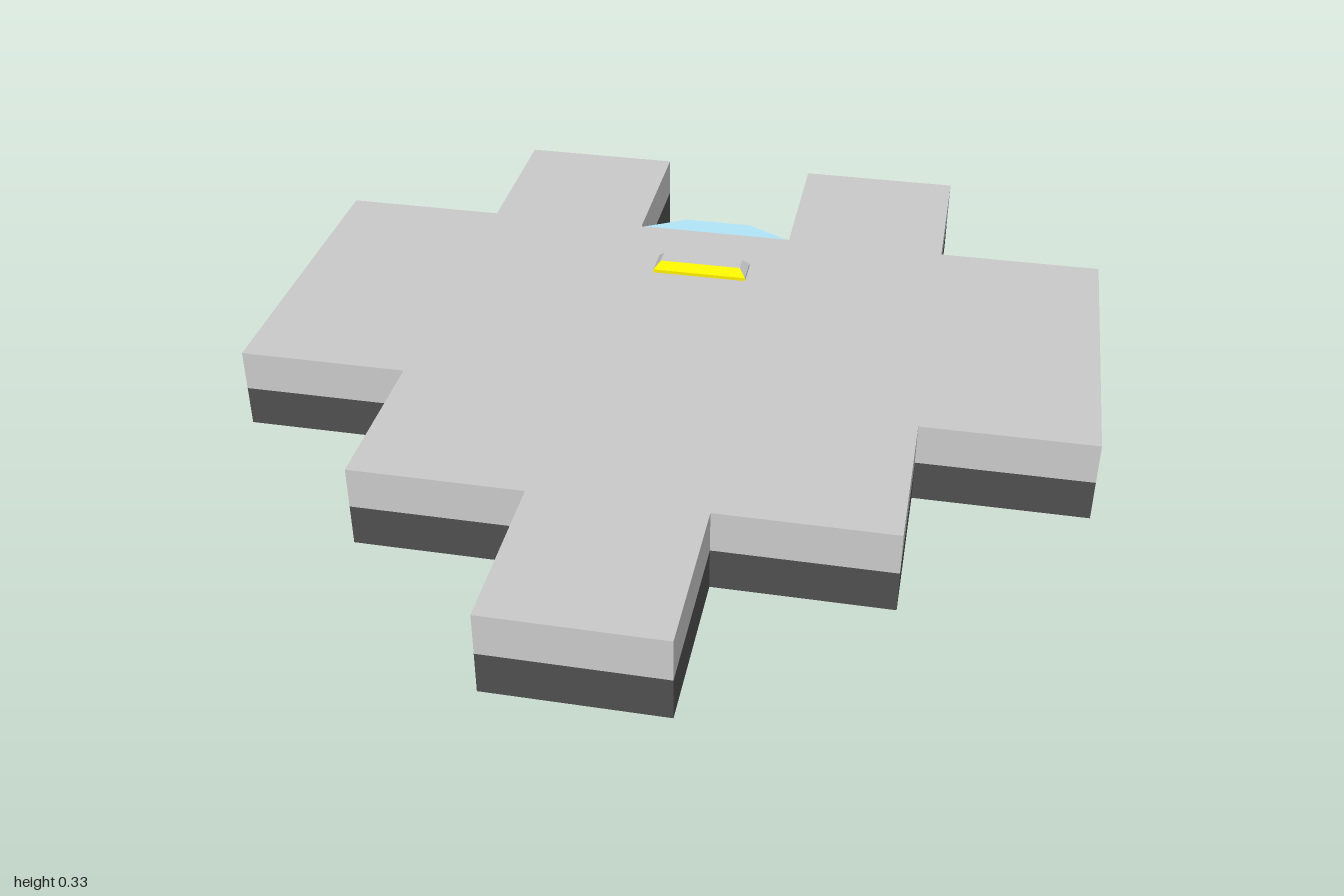
import * as THREE from 'three';

const mat = (color) => new THREE.MeshStandardMaterial({ color, flatShading: true });
const grey = mat(0xcccccc), dark = mat(0x505050), gunmetal = mat(0x3a3a3a);
const glass = mat(0xafe4f7), yellow = mat(0xffee00);

function part(name, geometry, material) {
  const mesh = new THREE.Mesh(geometry, material);
  mesh.name = name;
  return mesh;
}

// Four-cornered ring: front edge (half width, z, y), then back edge
const ring = (fw, fz, fy, bw, bz, by) => [[-fw, fy, fz], [fw, fy, fz], [bw, by, bz], [-bw, by, bz]];

// Skin the chosen sides between rings listed bottom to top, with optional end caps
function loft(rings, { sides = [0, 1, 2, 3], top = true, bottom = false } = {}) {
  const pos = [];
  const quad = (a, b, c, d) => pos.push(...a, ...b, ...c, ...a, ...c, ...d);
  for (let r = 0; r < rings.length - 1; r++) {
    const lo = rings[r], hi = rings[r + 1];
    for (const i of sides) {
      const j = (i + 1) % 4;
      quad(lo[i], lo[j], hi[j], hi[i]);
    }
  }
  if (top) quad(...rings[rings.length - 1]);
  if (bottom) quad(...[...rings[0]].reverse());
  const g = new THREE.BufferGeometry();
  g.setAttribute('position', new THREE.Float32BufferAttribute(pos, 3));
  g.computeVertexNormals();
  return g;
}

// Stepped deck slab, mirrored about x = 0
function deckSlab(y, height) {
  const half = [[0.195, 1], [0.195, 0.605], [0.587, 0.605], [0.587, 0.215], [0.98, 0.215],
    [0.98, -0.567], [0.587, -0.567], [0.587, -0.96], [0.195, -0.96], [0.195, -0.57]];
  const outline = [...half, ...half.map(([x, z]) => [-x, z]).reverse()];
  const shape = new THREE.Shape(outline.map(([x, z]) => new THREE.Vector2(x, -z)));
  return new THREE.ExtrudeGeometry(shape, { depth: height, bevelEnabled: false })
    .rotateX(-Math.PI / 2).translate(0, y, 0);
}

function cockpit() {
  const group = new THREE.Group();
  group.name = 'cockpit';
  const base = ring(0.195, -0.57, 0.105, 0.062, -0.842, 0.105);
  const rim = ring(0.195, -0.57, 0.298, 0.062, -0.842, 0.14);
  const panel = ring(0.083, -0.625, 0.302, 0.03, -0.765, 0.215);
  group.add(part('cockpitHull', loft([base, rim], { top: false, bottom: true }), dark));
  group.add(part('canopy', loft([rim, panel]), glass));
  return group;
}

function turret() {
  const group = new THREE.Group();
  group.name = 'turret';
  group.add(part('turretBody', new THREE.BoxGeometry(0.13, 0.07, 0.233).translate(0, 0.072, -0.7185), grey));

  // Chamfered chin under the front of the body
  const chin = new THREE.Shape([[-0.065, 0.04], [-0.036, 0], [0.036, 0], [0.065, 0.04]]
    .map(([x, y]) => new THREE.Vector2(x, y)));
  group.add(part('turretChin',
    new THREE.ExtrudeGeometry(chin, { depth: 0.1, bevelEnabled: false }).translate(0, 0, -0.702), grey));

  // Twin guns: thick sleeve, tapering barrel, flared muzzle
  const profile = [[0, 0], [0.018, 0], [0.018, 0.07], [0.01, 0.082], [0.009, 0.135],
    [0.013, 0.14], [0.013, 0.17], [0, 0.17]].map(([r, y]) => new THREE.Vector2(r, y));
  for (const side of [-1, 1]) {
    const gun = part(side > 0 ? 'leftGun' : 'rightGun', new THREE.LatheGeometry(profile, 8), gunmetal);
    gun.rotation.x = -Math.PI / 2;
    gun.position.set(side * 0.027, 0.056, -0.83);
    group.add(gun);
  }
  return group;
}

// Low bevelled housing with a lit front
function lightBar() {
  const group = new THREE.Group();
  group.name = 'lightBar';
  const rings = [
    ring(0.116, -0.338, 0.298, 0.116, -0.412, 0.298),
    ring(0.116, -0.338, 0.308, 0.116, -0.412, 0.308),
    ring(0.1, -0.355, 0.326, 0.1, -0.395, 0.326),
  ];
  group.add(part('lightHousing', loft(rings, { sides: [1, 2, 3] }), grey));
  group.add(part('lightFront', loft(rings, { sides: [0], top: false }), yellow));
  return group;
}

export function createModel() {
  const model = new THREE.Group();
  model.name = 'steppedPlatformCraft';
  model.add(part('lowerDeck', deckSlab(0.105, 0.0975), dark));
  model.add(part('upperDeck', deckSlab(0.2025, 0.0975), grey));
  model.add(cockpit(), turret(), lightBar());
  return model;
}
